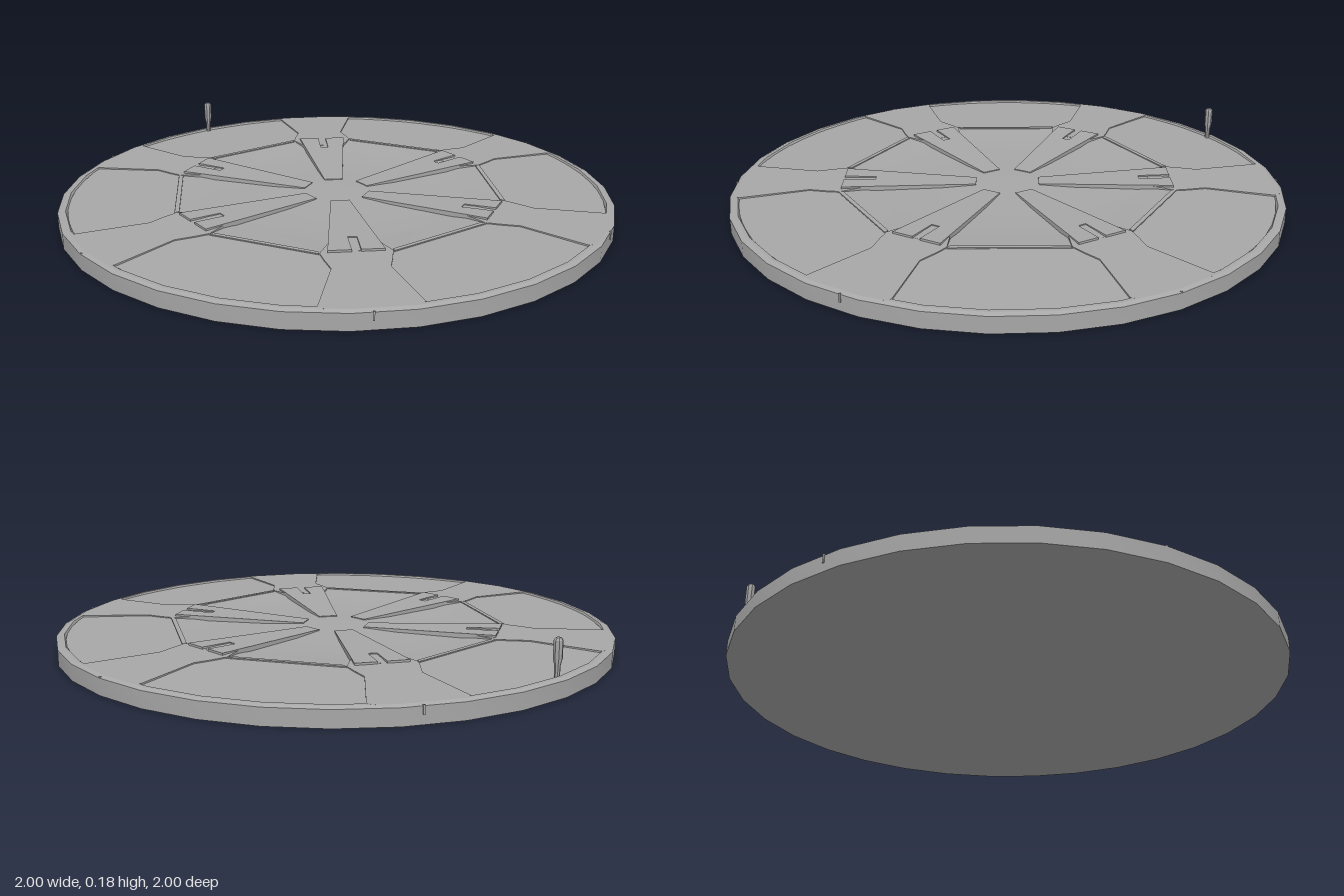
import * as THREE from 'three';
import { toCreasedNormals } from 'three/addons/utils/BufferGeometryUtils.js';

export function createModel() {
  const model = new THREE.Group();
  model.name = 'roundHatch';
  const metal = new THREE.MeshStandardMaterial({ color: 0xa7a7a7 });
  metal.name = 'grey metal';
  const V = (x, y) => new THREE.Vector2(x, y);

  function add(name, geometry, parent = model) {
    const mesh = new THREE.Mesh(geometry, metal);
    mesh.name = name;
    parent.add(mesh);
    return mesh;
  }
  const lathe = (points, sides, start) =>
    toCreasedNormals(new THREE.LatheGeometry(points.map(p => V(...p)), sides, start), 0.3);

  // Plate lying flat along +x; its top follows a height rule of x
  function plate(points, top, bottom = 0.03) {
    const g = new THREE.ExtrudeGeometry(new THREE.Shape(points.map(p => V(...p))),
      { depth: 1, bevelEnabled: false });
    g.rotateX(-Math.PI / 2);
    const p = g.attributes.position;
    for (let i = 0; i < p.count; i++) p.setY(i, p.getY(i) > 0.5 ? top(p.getX(i)) : bottom);
    g.computeVertexNormals();
    return g;
  }
  // Mirrors half an outline (z >= 0, from inside to outside) across the x axis
  const mirrored = half => [...half.map(([x, y]) => [x, -y]), ...half.slice().reverse()];
  // Height falling or rising evenly from (x0, y0) to (x1, y1)
  const slope = (x0, y0, x1, y1) => x => THREE.MathUtils.mapLinear(x, x0, x1, y0, y1);

  // Disc with a raised, chamfered rim
  add('base', lathe([[0, 0], [1, 0], [1, 0.056], [0.985, 0.062], [0.972, 0.062],
    [0.962, 0.045], [0, 0.04]], 32, 0));

  // Shallow six-sided dish in the middle (radii given across the flats)
  const hex = (apothem, y) => [apothem / Math.cos(Math.PI / 6), y];
  add('dish', lathe([hex(0.585, 0.067), hex(0.575, 0.066), hex(0.465, 0.057), hex(0.45, 0.055),
    hex(0.23, 0.053), [0.12, 0.058], [0, 0.059]], 6, Math.PI / 6));

  // Outer panel outline: hexagon side inside, arc outside
  const arc = [];
  for (let i = 0; i <= 5; i++) {
    const a = (i / 5) * Math.PI / 6;
    arc.unshift([0.965 * Math.cos(a), 0.965 * Math.sin(a)]);
  }
  const panel = plate(mirrored([[0.58, 0.335], ...arc.slice(0, -1), [0.965, 0.001]]),
    slope(0.58, 0.065, 0.965, 0.055));

  // Raised ledge along the inner edge of each panel
  const ledge = plate(mirrored([[0.568, 0.19], [0.584, 0.2]]), () => 0.069);

  const spoke = plate(mirrored([[0.52, 0.08], [0.60, 0.117], [0.65, 0.108], [0.715, 0.092],
    [0.955, 0.155], [0.972, 0.14]]), slope(0.52, 0.07, 0.972, 0.062));

  // Tapered arm with a slot open at the outer end
  const arm = plate(mirrored([[0.115, 0.034], [0.6, 0.092], [0.6, 0.015], [0.485, 0.015]]),
    slope(0.115, 0.061, 0.6, 0.076));
  const slotFloor = plate(mirrored([[0.48, 0.018], [0.595, 0.018]]), () => 0.069);

  for (let i = 0; i < 6; i++) {
    const a = i * Math.PI / 3;
    add('spoke', spoke).rotation.y = a;
    add('arm', arm).rotation.y = a;
    add('slotFloor', slotFloor).rotation.y = a;
    add('panel', panel).rotation.y = a + Math.PI / 6;
    add('panelLedge', ledge).rotation.y = a + Math.PI / 6;
    // Small seam on the rim at each spoke
    const seam = add('rimSeam', new THREE.BoxGeometry(0.006, 0.03, 0.006));
    seam.position.set(0.996 * Math.cos(a), 0.045, -0.996 * Math.sin(a));
    seam.rotation.y = a;
  }

  // Upright pin at the back edge
  const pin = add('pin', lathe([[0, 0], [0.009, 0], [0.01, 0.04], [0.015, 0.06],
    [0.015, 0.118], [0.009, 0.126], [0, 0.128]], 8, 0));
  pin.position.set(0, 0.055, -0.962);

  return model;
}
